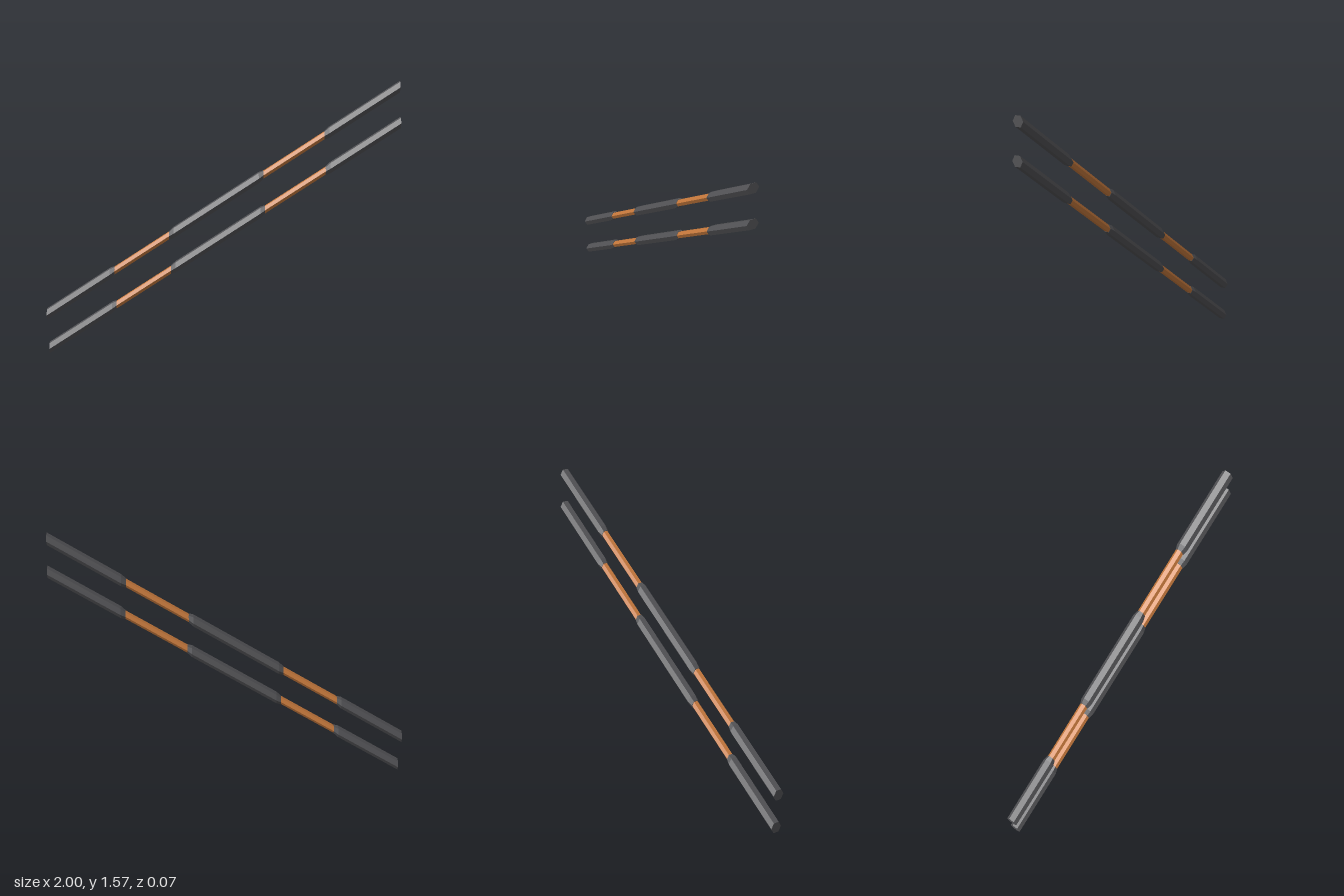
import * as THREE from 'three';

const SLOPE = 0.6565;
const GRIP_R = 0.034, CORE_R = 0.024, TIP_R = 0.026, BEVEL = 0.026;

const darkGrey = new THREE.MeshStandardMaterial({ color: 0x535356, flatShading: true });
darkGrey.name = 'darkGrey';
const copper = new THREE.MeshStandardMaterial({ color: 0xc87a3d, flatShading: true });
copper.name = 'copper';

// Six-sided bar from [x, radius] stations, sheared uphill so its ends stay vertical
function hexBar(name, stations, material) {
  const pts = stations.map(([x, r]) => new THREE.Vector2(r, x));
  pts.unshift(new THREE.Vector2(0, stations[0][0]));
  pts.push(new THREE.Vector2(0, stations[stations.length - 1][0]));
  const geo = new THREE.LatheGeometry(pts, 6);
  geo.rotateZ(-Math.PI / 2);
  geo.applyMatrix4(new THREE.Matrix4().set(
    1, 0, 0, 0,
    SLOPE, 1, 0, 0,
    0, 0, 1, 0,
    0, 0, 0, 1));
  geo.computeVertexNormals();
  const mesh = new THREE.Mesh(geo, material);
  mesh.name = name;
  return mesh;
}

// One sloping rod: three grey sleeves joined by two thinner copper sections
function rod(name, x, y) {
  const g = new THREE.Group();
  g.name = name;
  g.add(
    hexBar('lowerSleeve', [[-0.995, GRIP_R], [-0.605 - BEVEL, GRIP_R], [-0.605, TIP_R]], darkGrey),
    hexBar('middleSleeve', [[-0.292, TIP_R], [-0.292 + BEVEL, GRIP_R],
      [0.24 - BEVEL, GRIP_R], [0.24, TIP_R]], darkGrey),
    hexBar('upperSleeve', [[0.58, TIP_R], [0.58 + BEVEL, GRIP_R], [0.995, GRIP_R]], darkGrey),
    hexBar('lowerCore', [[-0.62, CORE_R], [-0.28, CORE_R]], copper),
    hexBar('upperCore', [[0.228, CORE_R], [0.592, CORE_R]], copper)
  );
  g.position.set(x, y, 0);
  return g;
}

export function createModel() {
  const model = new THREE.Group();
  model.name = 'pairOfRods';
  model.add(rod('upperRod', -0.005, 0.884), rod('lowerRod', 0.005, 0.683));
  return model;
}
